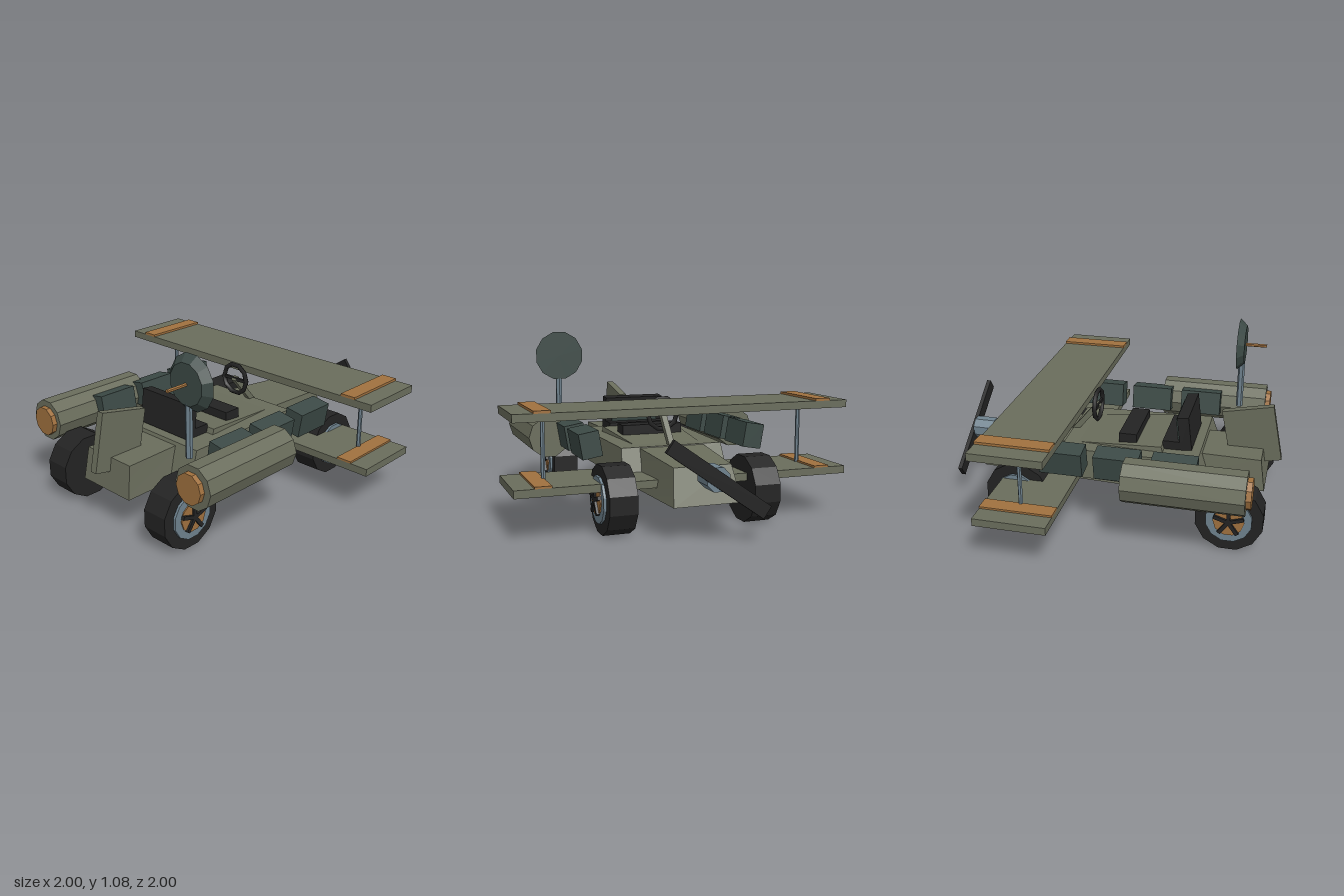
import * as THREE from 'three';

const paint = (name, color) => {
  const m = new THREE.MeshStandardMaterial({ color });
  m.name = name;
  return m;
};

export function createModel() {
  const model = new THREE.Group();
  model.name = 'wingedBuggy';
  const olive = paint('olive', 0x6a6d5c);
  const copper = paint('copper', 0xa0713f);
  const black = paint('black', 0x232323);
  const slate = paint('slate', 0x3c4a46);
  const steel = paint('steel', 0x6f828e);

  const add = (name, geometry, material, [x, y, z] = [0, 0, 0], parent = model) => {
    const mesh = new THREE.Mesh(geometry, material);
    mesh.name = name;
    mesh.position.set(x, y, z);
    parent.add(mesh);
    return mesh;
  };
  const box = (w, h, d) => new THREE.BoxGeometry(w, h, d);
  // Faceted cylinder lying along the given axis
  const drum = (axis, rPlus, rMinus, length, sides, start = 0) => {
    const g = new THREE.CylinderGeometry(rPlus, rMinus, length, sides, 1, false, start).toNonIndexed();
    if (axis === 'x') g.rotateZ(-Math.PI / 2);
    if (axis === 'z') g.rotateX(Math.PI / 2);
    g.computeVertexNormals();
    return g;
  };
  // Tapered block: each edge is [half width, y, z]
  const block = (noseLow, noseTop, rearLow, rearTop) => {
    const g = box(2, 2, 2);
    const p = g.attributes.position;
    for (let i = 0; i < p.count; i++) {
      const top = p.getY(i) > 0;
      const edge = p.getZ(i) < 0 ? (top ? noseTop : noseLow) : (top ? rearTop : rearLow);
      p.setXYZ(i, Math.sign(p.getX(i)) * edge[0], edge[1], edge[2]);
    }
    g.computeVertexNormals();
    return g;
  };

  // Body
  add('fuselage', block([0.2, 0.2, -0.85], [0.17, 0.4, -0.77], [0.27, 0.2, 0.38], [0.245, 0.48, 0.3]), olive);
  add('midBody', block([0.33, 0.265, -0.38], [0.315, 0.44, -0.31], [0.35, 0.265, 0.595], [0.335, 0.45, 0.53]), olive);
  add('tailBlock', block([0.19, 0.235, 0.4], [0.165, 0.43, 0.4], [0.195, 0.235, 0.92], [0.18, 0.43, 0.89]), olive);
  add('tailFin', box(0.045, 0.35, 0.31), olive, [0, 0.508, 0.815]).rotation.x = -0.2;

  // Cockpit
  const seat = add('seatBack', box(0.39, 0.21, 0.07), black, [0, 0.555, 0.43]);
  seat.rotation.x = -0.12;
  add('seatBackPanel', box(0.31, 0.14, 0.02), slate, [0, 0.01, -0.04], seat);
  add('seatBase', box(0.39, 0.06, 0.12), black, [0, 0.47, 0.36]);
  add('dashboard', box(0.39, 0.07, 0.11), black, [0, 0.485, 0.085]);
  add('steeringWheel', new THREE.TorusGeometry(0.095, 0.015, 5, 10), black, [0, 0.61, -0.15]);
  add('steeringSpoke', box(0.19, 0.02, 0.015), black, [0, 0.61, -0.15]);
  add('steeringColumn', box(0.035, 0.035, 0.25), olive, [0, 0.52, -0.225]).rotation.x = -0.87;

  // Propeller
  add('propellerHub', drum('z', 0.07, 0.07, 0.13, 8, Math.PI / 8), steel, [0, 0.365, -0.915]);
  add('propeller', box(0.676, 0.08, 0.025), black, [0, 0.365, -0.987]).rotation.z = 0.61;

  // Wings
  add('upperWing', box(2, 0.045, 0.425), olive, [0, 0.682, -0.392]);
  add('lowerWing', box(2, 0.045, 0.425), olive, [0, 0.282, -0.392]);

  for (const s of [-1, 1]) {
    add('upperWingBand', box(0.095, 0.015, 0.427), copper, [s * 0.84, 0.711, -0.392]);
    add('lowerWingBand', box(0.095, 0.012, 0.427), copper, [s * 0.84, 0.31, -0.392]);
    add('wingStrut', drum('y', 0.013, 0.013, 0.36, 6), steel, [s * 0.795, 0.482, -0.39]);

    // Side tank with end cap, and the three boxes beside the body
    add('sideTank', drum('z', 0.128, 0.128, 0.685, 10, Math.PI / 2), olive, [s * 0.63, 0.45, 0.508]);
    add('tankCap', drum('z', 0.09, 0.09, 0.03, 10, Math.PI / 2), copper, [s * 0.625, 0.45, 0.865]);
    for (const z of [-0.23, 0.1, 0.43])
      add('sideBox', box(0.12, 0.15, 0.26), slate, [s * 0.512, 0.477, z]).rotation.z = -s * 0.17;

    // Wheels with rim, hub and five spokes on the outer face
    for (const z of [-0.52, 0.75]) {
      const wheel = new THREE.Group();
      wheel.name = 'wheel';
      wheel.position.set(s * 0.43, 0.2, z);
      model.add(wheel);
      add('tyre', drum('x', 0.2, 0.2, 0.16, 12, Math.PI / 12), black, [0, 0, 0], wheel);
      add('rim', drum('x', 0.135, 0.135, 0.02, 12, Math.PI / 12), steel, [s * 0.085, 0, 0], wheel);
      add('hub', drum('x', 0.09, 0.09, 0.02, 10), copper, [s * 0.092, 0, 0], wheel);
      for (let i = 0; i < 5; i++) {
        const spoke = box(0.02, 0.09, 0.022).translate(s * 0.106, 0.045, 0);
        add('spoke', spoke, black, [0, 0, 0], wheel).rotation.x = (i * 2 * Math.PI) / 5;
      }
    }
  }

  // Dish on a post
  add('dishPost', drum('y', 0.021, 0.021, 0.32, 6), steel, [0.44, 0.66, 0.688]);
  add('dish', drum('z', 0.12, 0.163, 0.045, 12, Math.PI / 12), slate, [0.44, 0.925, 0.685]);
  add('dishProbe', drum('z', 0.011, 0.011, 0.135, 6), copper, [0.44, 0.925, 0.772]);

  return model;
}
